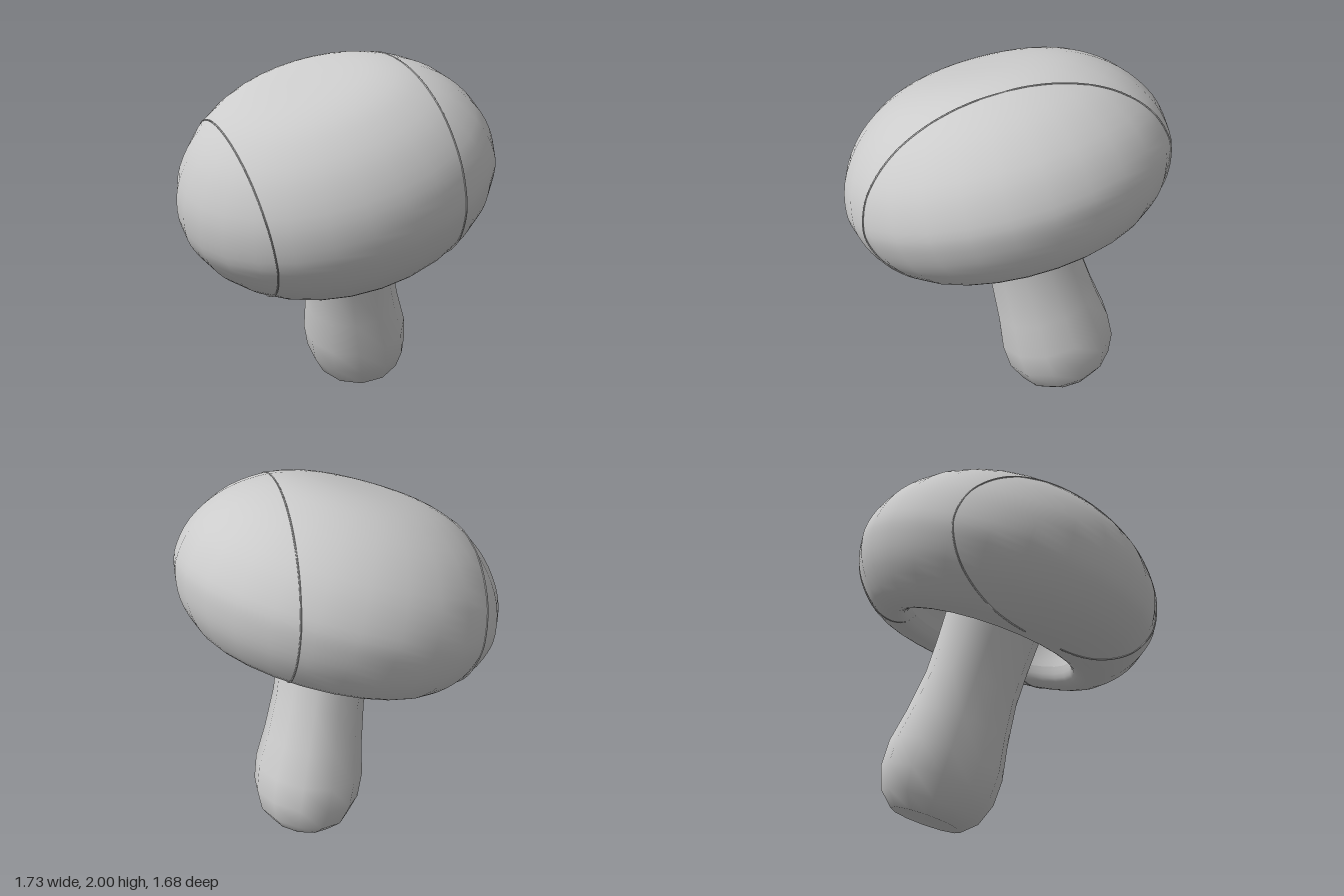
import * as THREE from 'three';

const UP = new THREE.Vector3(0, 1, 0);

// Smooth a short [radius, height] profile
function smoothProfile(points, count) {
  const curve = new THREE.SplineCurve(points.map(([r, y]) => new THREE.Vector2(r, y)));
  return curve.getPoints(count).map(p => new THREE.Vector2(Math.max(p.x, 0), p.y));
}

// Group whose local y axis leans along the given direction
function leaningGroup(name, position, axis) {
  const group = new THREE.Group();
  group.name = name;
  group.position.set(...position);
  group.quaternion.setFromUnitVectors(UP, new THREE.Vector3(...axis).normalize());
  return group;
}

// Line where a plane (normal n, distance d) cuts a surface of revolution
function seamCurve(profile, n, d) {
  const phi = Math.atan2(n.z, n.x), flat = Math.hypot(n.x, n.z);
  const sides = [[], []];
  for (const { x: r, y } of profile) {
    const c = (d - n.y * y) / (flat * r);
    if (Math.abs(c) > 1) continue;
    [1, -1].forEach((s, i) => {
      const t = phi + s * Math.acos(c);
      sides[i].push(new THREE.Vector3(r * Math.cos(t), y, r * Math.sin(t)));
    });
  }
  return new THREE.CatmullRomCurve3([...sides[0], ...sides[1].reverse()]);
}

export function createModel() {
  const model = new THREE.Group();
  model.name = 'mushroom';
  const material = new THREE.MeshStandardMaterial({ color: 0xcccccc, side: THREE.DoubleSide });
  const add = (parent, name, geometry) => {
    const mesh = new THREE.Mesh(geometry, material);
    mesh.name = name;
    parent.add(mesh);
  };

  // Cap: full-shouldered dome with a fat rim curling into a hollow underside
  const cap = leaningGroup('cap', [0, 1.36, 0], [-0.145, 0.93, 0.325]);
  const hollow = [[0, 0.08], [0.3, 0.04], [0.44, -0.1], [0.475, -0.27]];
  const dome = [[0.475, -0.27], [0.505, -0.34], [0.58, -0.37], [0.685, -0.335], [0.795, -0.22],
    [0.855, -0.09], [0.868, 0.03], [0.82, 0.195], [0.7, 0.355], [0.54, 0.47], [0.38, 0.53],
    [0.2, 0.555], [0, 0.56]];
  add(cap, 'capDome', new THREE.LatheGeometry(smoothProfile(dome, 40), 28));
  add(cap, 'capHollow', new THREE.LatheGeometry(smoothProfile(hollow, 10), 28));

  // Two fine seams dividing the cap into a middle band and two ends
  const toLocal = cap.quaternion.clone().invert();
  const seamProfile = smoothProfile(dome, 120).slice(0, -1);
  for (const [name, normal, d] of [
    ['backSeam', [0.82, 0.1, -0.57], 0.37],
    ['frontSeam', [0.82, 0.2, -0.57], -0.585],
  ]) {
    const n = new THREE.Vector3(...normal).applyQuaternion(toLocal);
    add(cap, name, new THREE.TubeGeometry(seamCurve(seamProfile, n, d), 120, 0.004, 5));
  }
  model.add(cap);

  // Stem: waisted, slightly oval column with a swollen, blunt foot
  const stem = leaningGroup('stem', [0.06, 0.055, -0.42], [-0.03, 0.95, 0.3]);
  const stemProfile = [[0, 0], [0.19, 0], [0.265, 0.07], [0.31, 0.19], [0.315, 0.33],
    [0.285, 0.52], [0.262, 0.75], [0.265, 0.95], [0.275, 1.15], [0.32, 1.42]];
  const column = new THREE.LatheGeometry(
    stemProfile.map(([r, y]) => new THREE.Vector2(r, y)), 12);
  column.scale(0.95, 1, 1.04).rotateY(Math.PI / 4);
  add(stem, 'stemColumn', column);
  model.add(stem);

  return model;
}
